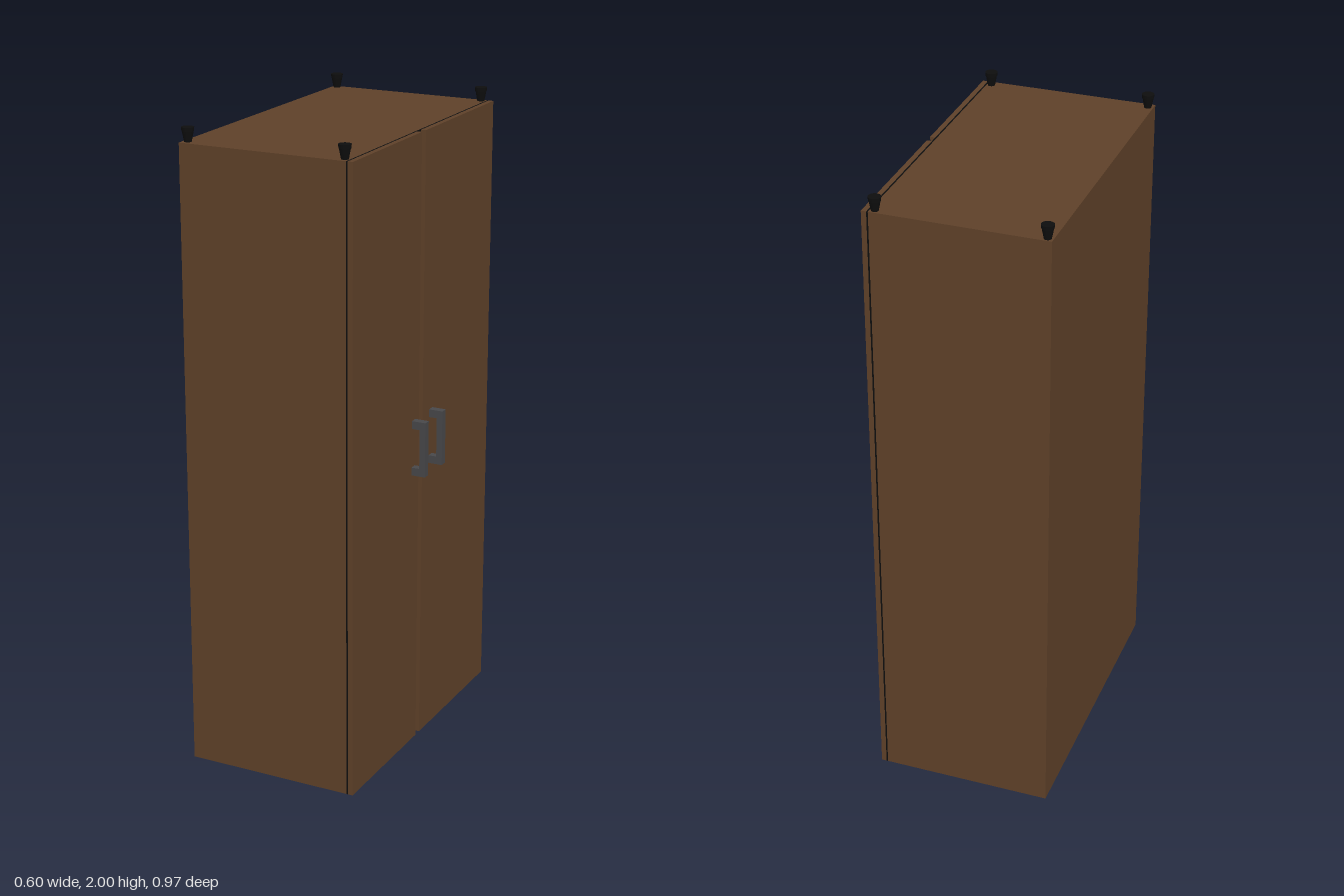
import * as THREE from 'three';

const wood = new THREE.MeshStandardMaterial({ color: 0x5f4129 });
const black = new THREE.MeshStandardMaterial({ color: 0x0e0e0e });
const metal = new THREE.MeshStandardMaterial({ color: 0x48484a });

const HEIGHT = 1.957, HALF_DEPTH = 0.484;

// Box given by its minimum and maximum corners
function box(name, material, [x0, y0, z0], [x1, y1, z1]) {
  const mesh = new THREE.Mesh(new THREE.BoxGeometry(x1 - x0, y1 - y0, z1 - z0), material);
  mesh.position.set((x0 + x1) / 2, (y0 + y1) / 2, (z0 + z1) / 2);
  mesh.name = name;
  return mesh;
}

// C-shaped pull, extruded across its width
function handle(name, z) {
  const width = 0.024;
  const outline = [
    [0.255, 0.905], [0.3, 0.905], [0.3, 1.08], [0.255, 1.08],
    [0.255, 1.055], [0.281, 1.055], [0.281, 0.93], [0.255, 0.93],
  ];
  const shape = new THREE.Shape(outline.map(([x, y]) => new THREE.Vector2(x, y)));
  const geometry = new THREE.ExtrudeGeometry(shape, { depth: width, bevelEnabled: false });
  const mesh = new THREE.Mesh(geometry, metal);
  mesh.position.z = z - width / 2;
  mesh.name = name;
  return mesh;
}

// Tapered peg with a wider cap
function peg(x, z) {
  const group = new THREE.Group();
  const stem = new THREE.Mesh(new THREE.CylinderGeometry(0.017, 0.011, 0.031, 24), black);
  stem.position.y = HEIGHT + 0.0155;
  stem.name = 'pegStem';
  const cap = new THREE.Mesh(new THREE.CylinderGeometry(0.019, 0.018, 0.012, 24), black);
  cap.position.y = 1.994;
  cap.name = 'pegCap';
  group.add(stem, cap);
  group.position.set(x, 0, z);
  group.name = 'cornerPeg';
  return group;
}

export function createModel() {
  const model = new THREE.Group();
  model.name = 'wardrobe';

  // Carcass, dark backing panel and the two doors on the +x side
  model.add(
    box('cabinetBody', wood, [-0.301, 0, -HALF_DEPTH], [0.234, HEIGHT, HALF_DEPTH]),
    box('doorBacking', black, [0.234, 0, -HALF_DEPTH], [0.239, HEIGHT, HALF_DEPTH]),
    box('rearDoor', wood, [0.239, 0, -HALF_DEPTH], [0.255, HEIGHT, 0.011]),
    box('frontDoor', wood, [0.239, 0, 0.037], [0.255, HEIGHT, HALF_DEPTH]),
    handle('rearHandle', -0.048),
    handle('frontHandle', 0.075),
  );

  // Pegs at the four top corners
  for (const x of [-0.284, 0.219]) {
    for (const z of [-0.469, 0.461]) model.add(peg(x, z));
  }
  return model;
}
